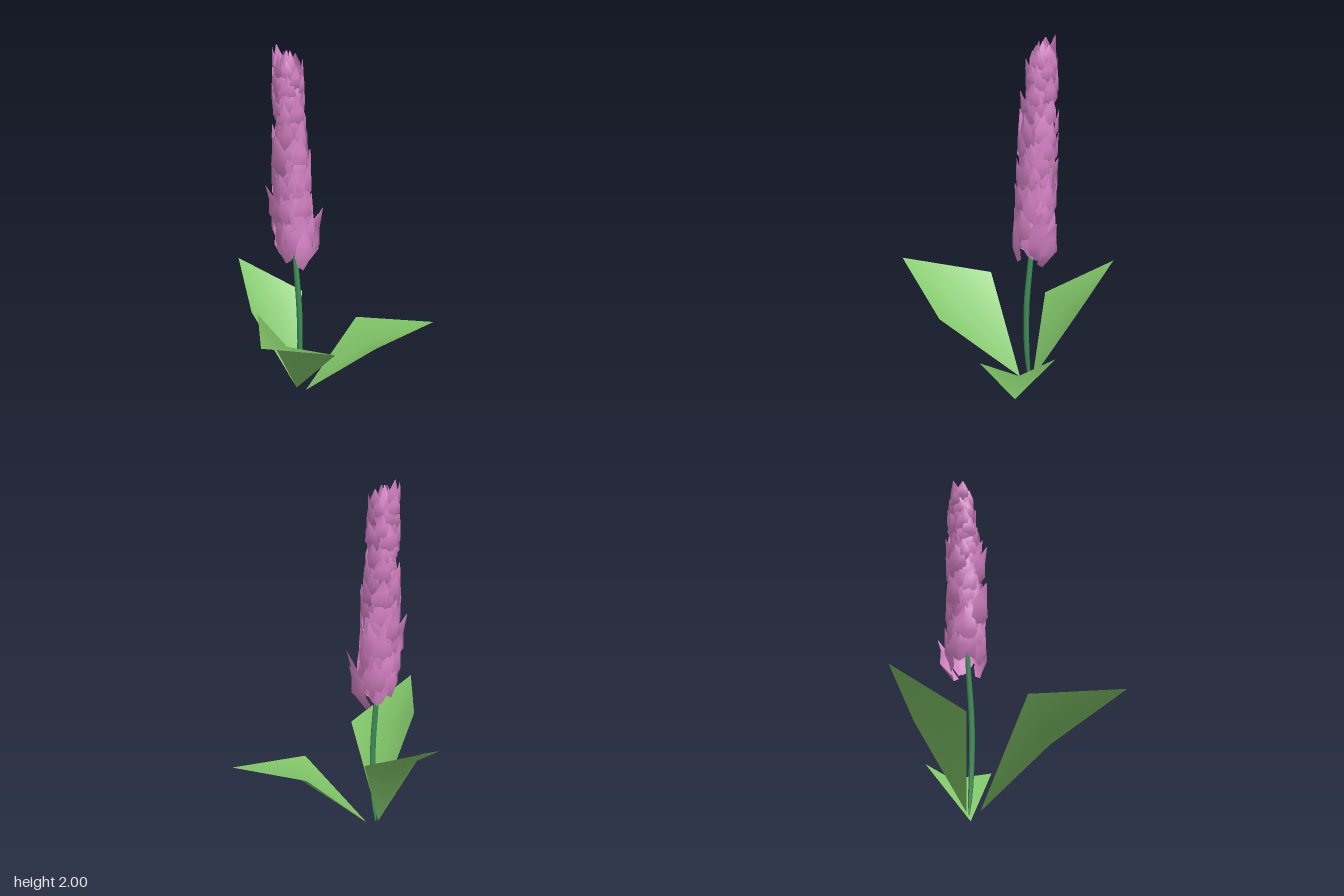
import * as THREE from 'three';

const { lerp, clamp } = THREE.MathUtils;
const material = (color) => new THREE.MeshStandardMaterial({ color, side: THREE.DoubleSide });
const leafMat = material(0x80c468);
const stemMat = material(0x3f9058);
const petalMat = material(0xd884c8);

function meshFrom(name, points, index, mat) {
  const geo = new THREE.BufferGeometry();
  geo.setAttribute('position', new THREE.Float32BufferAttribute(points.flat(), 3));
  geo.setIndex(index);
  geo.computeVertexNormals();
  const mesh = new THREE.Mesh(geo, mat);
  mesh.name = name;
  return mesh;
}

// Leaf: four triangles around a sunken midrib point
const makeLeaf = (name, base, right, tip, left, mid) =>
  meshFrom(name, [base, right, tip, left, mid], [4, 1, 0, 4, 2, 1, 4, 3, 2, 4, 0, 3], leafMat);

// Stem: slightly bowed tube, pinched at both ends
function makeStem() {
  const curve = new THREE.CatmullRomCurve3([
    [0.042, 0.02, 0.02], [0.045, 0.22, 0.042], [0.042, 0.5, 0.042], [0.042, 0.82, 0.01],
    [0.045, 1.3, -0.025], [0.045, 1.85, -0.055],
  ].map((p) => new THREE.Vector3(...p)));
  const rows = 24, sides = 6;
  const geo = new THREE.TubeGeometry(curve, rows, 1, sides, false);
  const pos = geo.attributes.position, v = new THREE.Vector3();
  for (let i = 0; i < pos.count; i++) {
    const t = Math.floor(i / (sides + 1)) / rows;
    const c = curve.getPointAt(t);
    v.fromBufferAttribute(pos, i).sub(c).multiplyScalar(0.003 + 0.014 * Math.sin(Math.PI * Math.sqrt(t))).add(c);
    pos.setXYZ(i, v.x, v.y, v.z);
  }
  geo.computeVertexNormals();
  const stem = new THREE.Mesh(geo, stemMat);
  stem.name = 'stem';
  return stem;
}

// Centre line of the flower spike, leaning gently backwards
const axisX = 0.043;
const axisZ = (y) => lerp(0.0, -0.06, clamp((y - 0.8) / 1.1, 0, 1));

// Petal: cupped scale with a narrow base, wide middle and pointed, flared tip
function makePetal(angle, y0, length, width, radius, flare, skew = 0) {
  const rows = [[0, 0.5, 0], [0.35, 1, 0.5], [0.65, 0.8, 0.5], [1, 0.06, 1]];
  const points = [], index = [];
  const sin = Math.sin(angle), cos = Math.cos(angle);
  rows.forEach(([t, w, out], i) => {
    for (const s of [-1, 0, 1]) {
      const side = s * w * width + skew * t;
      const r = radius + flare * out + 0.02 * Math.sin(Math.PI * t) - 0.4 * Math.abs(s) * w * width;
      const y = y0 + length * t + (i === 0 ? 0.02 * Math.abs(s) : 0);
      points.push([axisX + sin * r + cos * side, y, axisZ(y0) + cos * r - sin * side]);
    }
    if (i === 0) return;
    for (let k = 0; k < 2; k++) {
      const a = (i - 1) * 3 + k, b = a + 3;
      index.push(a, a + 1, b + 1, a, b + 1, b);
    }
  });
  return meshFrom('petal', points, index, petalMat);
}

function makeFlower() {
  const flower = new THREE.Group();
  flower.name = 'flowerSpike';
  let seed = 11;
  const rand = () => (seed = (seed * 16807) % 2147483647) / 2147483647;

  // Overlapping petals climbing in a spiral
  const count = 110;
  for (let i = 0; i < count; i++) {
    const t = i / (count - 1);
    flower.add(makePetal(
      i * 2.39996 + (rand() - 0.5) * 0.5,
      lerp(0.78, 1.83, t) + (rand() - 0.5) * 0.04,
      lerp(0.29, 0.15, t) * lerp(0.8, 1.0, rand()),
      lerp(0.068, 0.043, t) * lerp(0.85, 1.1, rand()),
      lerp(0.085, 0.05, t) + (rand() - 0.5) * 0.02,
      lerp(0.0, 0.045, rand()),
      (rand() - 0.5) * 0.04,
    ));
  }

  // Petals that stand out further than the rest: angle, base, length, width, radius, flare
  [
    [1.6, 0.76, 0.28, 0.06, 0.09, 0.12], [1.2, 0.8, 0.3, 0.06, 0.09, 0.09],
    [-1.8, 1.0, 0.27, 0.055, 0.08, 0.1], [-1.5, 1.28, 0.25, 0.05, 0.07, 0.085],
    [3.1, 1.12, 0.22, 0.05, 0.08, 0.07], [3.1, 1.82, 0.18, 0.04, 0.04, 0.045],
  ].forEach((p) => flower.add(makePetal(...p)));

  // Inner petals closing the crown
  for (let i = 0; i < 5; i++) flower.add(makePetal(i * 1.257, 1.79, 0.18, 0.035, 0.03, -0.012));
  return flower;
}

export function createModel() {
  const model = new THREE.Group();
  model.name = 'flower';
  model.add(
    makeStem(),
    makeFlower(),
    makeLeaf('leftLeaf', [0.07, 0, 0.07], [0.22, 0.35, 0.465], [0.68, 0.39, 0.545], [0.45, 0.375, 0.14], [0.375, 0.3, 0.32]),
    makeLeaf('rightLeaf', [0, 0.04, 0.06], [-0.31, 0.605, 0.06], [-0.68, 0.67, 0.465], [-0.17, 0.46, 0.49], [-0.3, 0.48, 0.27]),
    makeLeaf('backLeaf', [0.042, 0.03, 0], [0.28, 0.515, -0.155], [0.11, 0.68, -0.545], [-0.11, 0.48, -0.2], [0.08, 0.46, -0.22]),
  );
  return model;
}
